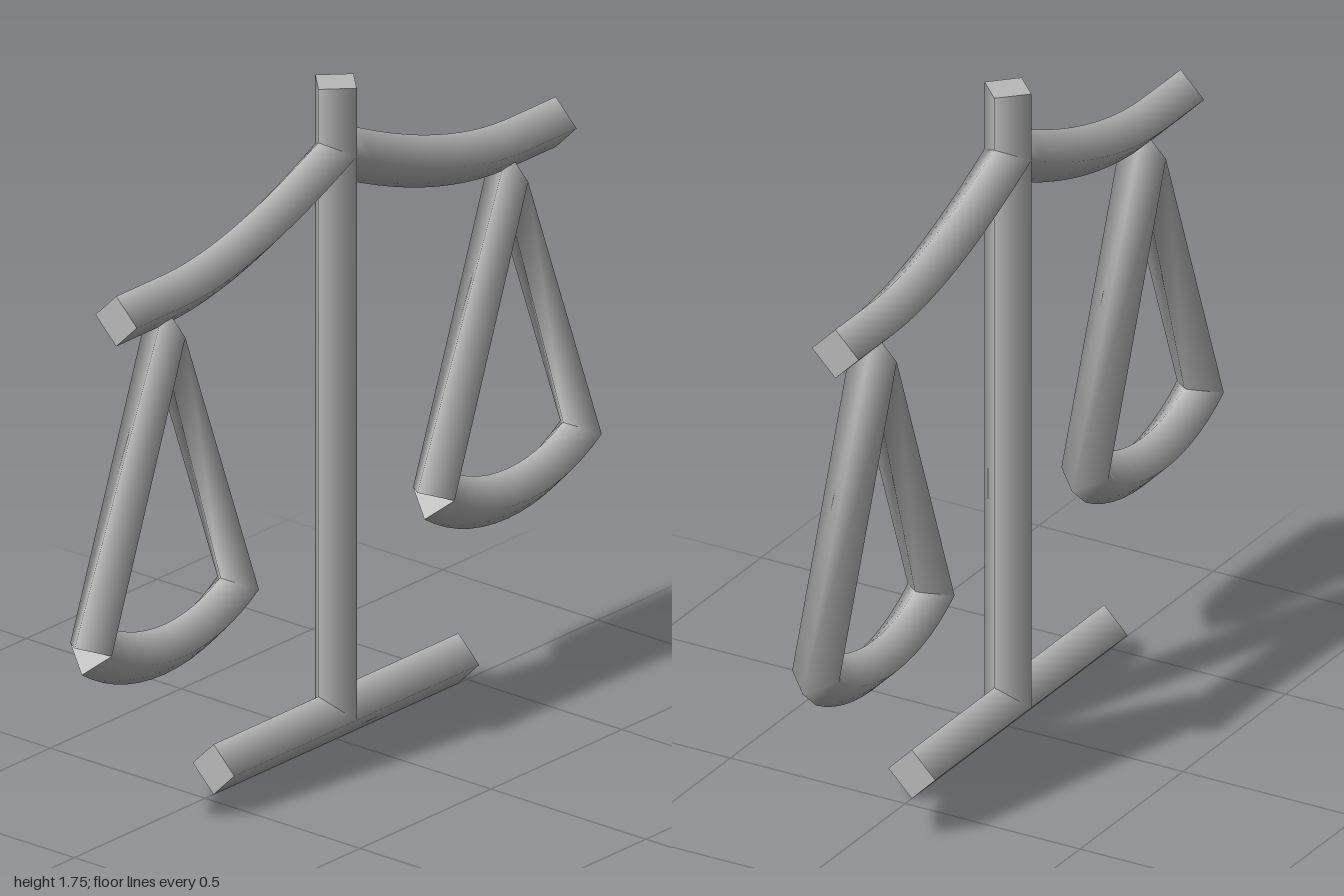
import * as THREE from 'three';

const R = 0.067; // half-diagonal of the diamond-section bar

// Sweep a smooth-shaded diamond section along a path in the XY plane, with flat end caps.
function bar(name, points, material) {
  const pos = [], nor = [], idx = [];
  const n = points.length;
  const dir = (a, b) => b.clone().sub(a).normalize();
  const rings = points.map((p, i) => {
    const t = new THREE.Vector2();
    if (i > 0) t.add(dir(points[i - 1], p));
    if (i < n - 1) t.add(dir(p, points[i + 1]));
    t.normalize();
    // outward, front, inward, back
    const dirs = [[-t.y, t.x, 0], [0, 0, 1], [t.y, -t.x, 0], [0, 0, -1]];
    return { p, t, dirs };
  });
  const addRing = (ring, normal) => {
    const start = pos.length / 3;
    for (const d of ring.dirs) {
      pos.push(ring.p.x + d[0] * R, ring.p.y + d[1] * R, d[2] * R);
      nor.push(...(normal || d));
    }
    return start;
  };
  rings.forEach((r) => addRing(r));
  for (let i = 0; i < n - 1; i++) {
    for (let j = 0; j < 4; j++) {
      const a = i * 4 + j, b = i * 4 + (j + 1) % 4;
      idx.push(a, b, b + 4, a, b + 4, a + 4);
    }
  }
  // end caps
  const first = rings[0], last = rings[n - 1];
  const s = addRing(first, [-first.t.x, -first.t.y, 0]);
  idx.push(s, s + 2, s + 1, s, s + 3, s + 2);
  const e = addRing(last, [last.t.x, last.t.y, 0]);
  idx.push(e, e + 1, e + 2, e, e + 2, e + 3);

  const g = new THREE.BufferGeometry();
  g.setAttribute('position', new THREE.Float32BufferAttribute(pos, 3));
  g.setAttribute('normal', new THREE.Float32BufferAttribute(nor, 3));
  g.setIndex(idx);
  const mesh = new THREE.Mesh(g, material);
  mesh.name = name;
  return mesh;
}

export function createModel() {
  const group = new THREE.Group();
  group.name = 'balanceScale';
  const grey = new THREE.MeshStandardMaterial({ color: 0xb8b8b8 });
  grey.name = 'grey metal';
  const v = (x, y) => new THREE.Vector2(x, y);

  // foot and upright
  group.add(bar('base', [v(-0.468, R), v(0.468, R)], grey));
  group.add(bar('post', [v(0, R), v(0, 1.755)], grey));

  // drooping beam, mirrored about the post
  const droop = new THREE.QuadraticBezierCurve(v(0, 1.572), v(0.38, 1.385), v(0.65, 1.381));
  const half = [...droop.getPoints(12), v(0.84, 1.381)];
  const mirrored = half.slice(1).reverse().map((p) => v(-p.x, p.y));
  group.add(bar('beam', [...mirrored, ...half], grey));

  // each hanger is one bar: up to the apex, down, and back along the pan arc
  const w = 0.281, rimY = 0.535, depth = 0.088;
  const arcR = (w * w + depth * depth) / (2 * depth);
  const spread = Math.asin(w / arcR);
  for (const side of [-1, 1]) {
    const cx = side * 0.655;
    const path = [v(cx - w, rimY), v(cx, 1.297)];
    for (let i = 0; i <= 14; i++) {
      const a = spread * (1 - i / 7);
      path.push(v(cx + arcR * Math.sin(a), rimY - depth + arcR * (1 - Math.cos(a))));
    }
    group.add(bar(side < 0 ? 'rightPanHanger' : 'leftPanHanger', path, grey));
  }
  return group;
}
